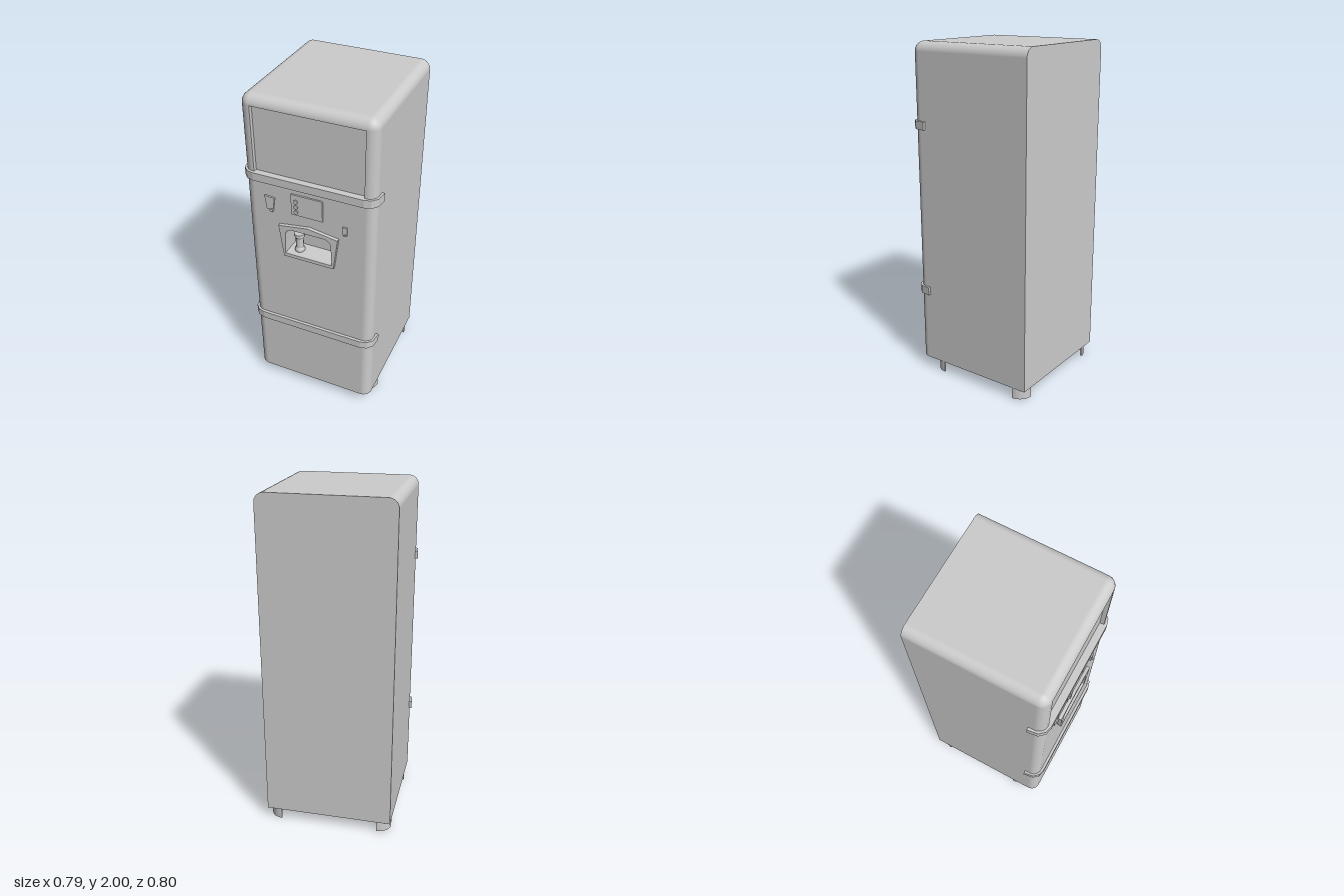
import * as THREE from 'three';
import { toCreasedNormals } from 'three/addons/utils/BufferGeometryUtils.js';

const W = 0.38, FRONT = 0.38, BACK = -0.4, BOTTOM = 0.07, TOP = 2, R = 0.055;

export function createModel() {
  const root = new THREE.Group();
  const grey = new THREE.MeshStandardMaterial({ color: 0xcccccc });
  grey.name = 'light grey';

  const add = (name, geometry, parent = root) => {
    const mesh = new THREE.Mesh(geometry, grey);
    mesh.name = name;
    parent.add(mesh);
    return mesh;
  };
  const poly = (pts) => new THREE.Shape(pts.map(([x, y]) => new THREE.Vector2(x, y)));
  const rect = (x0, y0, x1, y1) => [[x0, y0], [x1, y0], [x1, y1], [x0, y1]];

  // Extrudes a plan outline (x, z) downwards from the given top height
  const planSolid = (shape, top, height) =>
    new THREE.ExtrudeGeometry(shape, { depth: height, bevelEnabled: false, curveSegments: 8 })
      .rotateX(Math.PI / 2).translate(0, top, 0);

  // Flat plate standing on the front face
  const plate = (shape, z, depth) =>
    new THREE.ExtrudeGeometry(shape, { depth, bevelEnabled: false }).translate(0, 0, z);

  // Inward facing walls and back of a recess; outline runs anticlockwise
  const recess = (name, outline, inner, zFront, zBack) => {
    const pos = [];
    outline.forEach((a, i) => {
      const j = (i + 1) % outline.length;
      const b = outline[j], c = inner[i], d = inner[j];
      pos.push(...a, zFront, ...b, zFront, ...c, zBack, ...b, zFront, ...d, zBack, ...c, zBack);
    });
    const g = new THREE.BufferGeometry();
    g.setAttribute('position', new THREE.Float32BufferAttribute(pos, 3));
    add(name + 'Walls', toCreasedNormals(g, 0.6));
    add(name + 'Back', new THREE.ShapeGeometry(poly(inner)).translate(0, 0, zBack));
  };

  // Cabinet shell: rounded front corners and a rounded top edge
  const steps = 8, positions = [], normals = [], index = [];
  const ring = [[W - R, BACK, 0]];
  for (let i = 0; i <= steps; i++) ring.push([W - R, FRONT - R, (i / steps) * Math.PI / 2]);
  for (let i = 0; i <= steps; i++) ring.push([R - W, FRONT - R, (1 + i / steps) * Math.PI / 2]);
  ring.push([R - W, BACK, Math.PI]);
  const rows = [[BOTTOM, 0]];
  for (let i = 0; i <= steps; i++) rows.push([TOP - R, (i / steps) * Math.PI / 2]);
  rows.forEach(([y, phi], r) => ring.forEach(([x, z, t], i) => {
    const n = [Math.cos(t) * Math.cos(phi), Math.sin(phi), Math.sin(t) * Math.cos(phi)];
    positions.push(x + R * n[0], y + R * n[1], z + R * n[2] * (z === BACK ? 0 : 1));
    normals.push(...n);
    const isFrontFace = r === 1 && i === steps + 1;
    if (r > 0 && i < ring.length - 1 && !isFrontFace) {
      const b = r * ring.length + i, a = b - ring.length;
      index.push(a, b, a + 1, b, b + 1, a + 1);
    }
  }));
  const shell = new THREE.BufferGeometry();
  shell.setAttribute('position', new THREE.Float32BufferAttribute(positions, 3));
  shell.setAttribute('normal', new THREE.Float32BufferAttribute(normals, 3));
  shell.setIndex(index);
  add('cabinetShell', shell);

  const topDepth = FRONT - R - BACK;
  add('cabinetTop', new THREE.PlaneGeometry(2 * (W - R), topDepth)
    .rotateX(-Math.PI / 2).translate(0, TOP, BACK + topDepth / 2));

  // Back and underside, both with two rounded corners
  const roundedEnd = (y0, y1) => {
    const s = new THREE.Shape();
    s.moveTo(-W, y0);
    s.lineTo(W, y0);
    s.absarc(W - R, y1 - R, R, 0, Math.PI / 2);
    s.absarc(R - W, y1 - R, R, Math.PI / 2, Math.PI);
    return s;
  };
  add('cabinetBack', new THREE.ShapeGeometry(roundedEnd(BOTTOM, TOP)).rotateY(Math.PI).translate(0, 0, BACK));
  add('cabinetUnderside', new THREE.ShapeGeometry(roundedEnd(BACK, FRONT)).rotateX(Math.PI / 2).translate(0, BOTTOM, 0));

  // Front face with the display window and the dispenser niche cut out
  const windowPts = rect(-0.318, 1.555, 0.318, 1.943);
  const nicheShape = new THREE.Shape();
  nicheShape.moveTo(-0.142, 1.072);
  nicheShape.lineTo(0.142, 1.072);
  nicheShape.absarc(0.095, 1.2, 0.042, 0, Math.PI / 2);
  nicheShape.absarc(-0.095, 1.2, 0.042, Math.PI / 2, Math.PI);
  const nichePts = nicheShape.getPoints(6).map((p) => [p.x, p.y]);
  const face = poly(rect(R - W, BOTTOM, W - R, TOP - R));
  face.holes.push(poly(windowPts), poly(nichePts));
  add('cabinetFront', new THREE.ShapeGeometry(face).translate(0, 0, FRONT));
  recess('displayWindow', windowPts, windowPts, FRONT, FRONT - 0.025);
  recess('dispenserNiche', nichePts,
    nichePts.map(([x, y]) => [x * 0.94, 1.08 + (y - 1.072) * 0.88]), FRONT, 0.29);

  // Dispenser surround and the spout standing in it
  const frame = poly([[-0.152, 1.05], [0.152, 1.05], [0.178, 1.255], [0, 1.282], [-0.178, 1.255]]);
  frame.holes.push(poly(nichePts));
  add('dispenserFrame', plate(frame, FRONT, 0.02));
  const spout = [[0, 1.07], [0.029, 1.07], [0.029, 1.085], [0.022, 1.1], [0.022, 1.16], [0.03, 1.172], [0.03, 1.19], [0, 1.19]];
  add('dispenserSpout', toCreasedNormals(
    new THREE.LatheGeometry(spout.map(([r, y]) => new THREE.Vector2(r, y)), 12), 0.4)).position.set(-0.08, 0, 0.34);

  // Control plates and buttons
  add('controlPlate', plate(poly(rect(-0.1, 1.345, 0.085, 1.475)), FRONT, 0.009));
  add('leftPlate', plate(poly([[-0.25, 1.34], [-0.212, 1.34], [-0.2, 1.42], [-0.26, 1.425]]), FRONT, 0.009));
  add('rightPlate', plate(poly(rect(0.2, 1.295, 0.228, 1.345)), FRONT, 0.009));
  add('smallSquareButton', plate(poly(rect(-0.229, 1.33, -0.212, 1.347)), FRONT, 0.016));
  add('smallDot', plate(poly(rect(0.212, 1.293, 0.222, 1.303)), FRONT, 0.016));
  for (const y of [1.368, 1.401, 1.434]) {
    add('roundButton', new THREE.CylinderGeometry(0.012, 0.012, 0.016, 12)
      .rotateX(Math.PI / 2)).position.set(-0.07, y, FRONT + 0.008);
  }

  // Trim bands wrapping the front corners
  const half = [[0.32, 0.397], [0.36, 0.386], [0.388, 0.355], [0.397, 0.292], [0.372, 0.292], [0.365, 0.34], [0.34, 0.362], [0.31, 0.368]];
  const band = poly([...half, ...half.map(([x, z]) => [-x, z]).reverse()]);
  add('upperBand', planSolid(band, 1.558, 0.048));
  add('lowerBand', planSolid(band, 0.547, 0.048));

  // Feet: upright quarter rings bulging towards the corners
  [[0.295, 0.2], [-0.295, 0.2], [-0.295, -0.31], [0.295, -0.31]].forEach(([x, z], k) => {
    const a = k * Math.PI / 2, b = a + Math.PI / 2;
    const s = new THREE.Shape();
    s.absarc(x, z, 0.08, a, b, false);
    s.absarc(x, z, 0.068, b, a, true);
    add('foot', toCreasedNormals(planSolid(s, BOTTOM + 0.005, BOTTOM + 0.005), 0.5));
  });
  return root;
}
